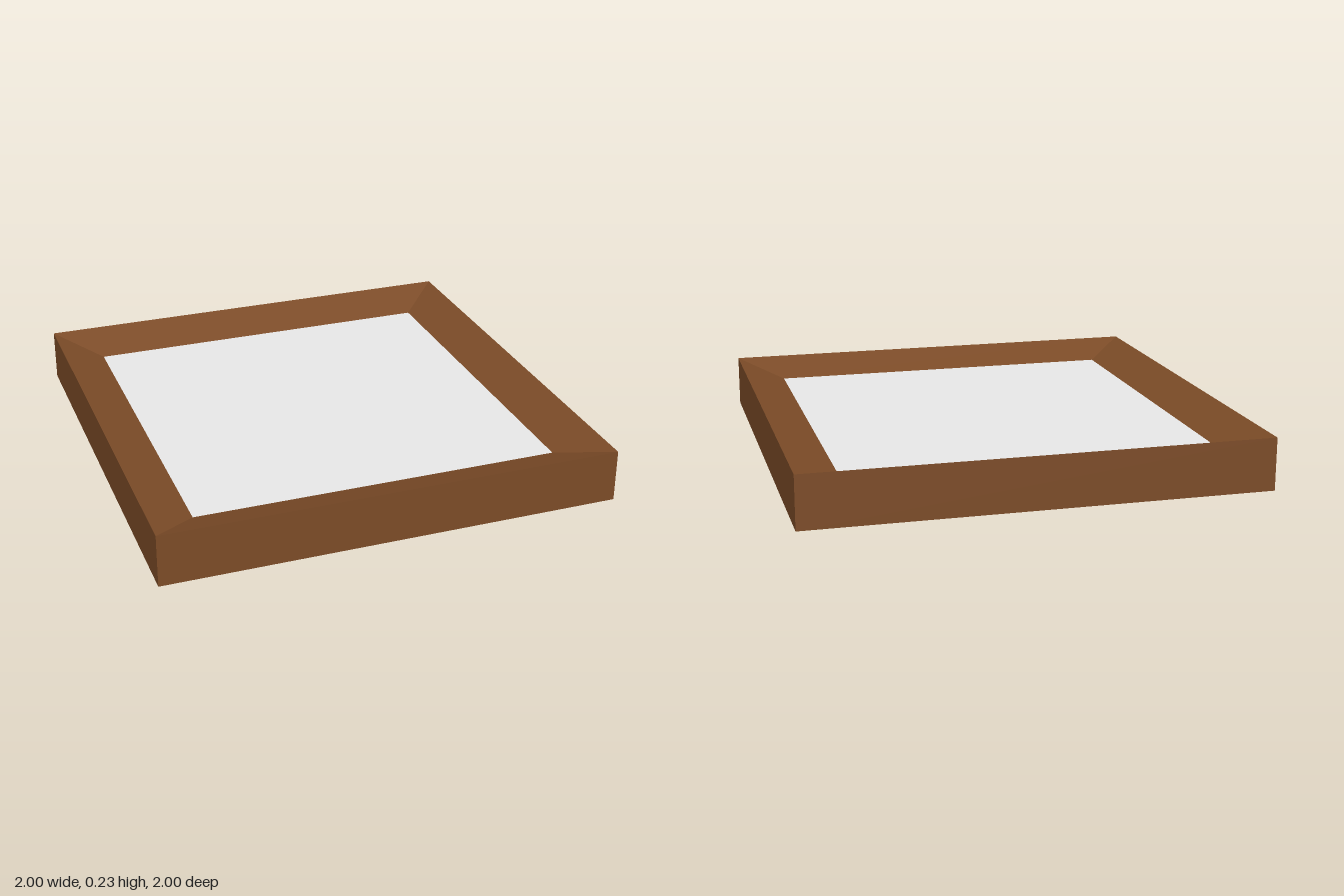
import * as THREE from 'three';

const HEIGHT = 0.23, INNER_Y = 0.16, OUTER = 1, INNER = 0.8;

// One mitred side of the frame: outer wall, sloped inner face and underside
function frameSide(material) {
  const profile = [[OUTER, 0], [OUTER, HEIGHT], [INNER, INNER_Y], [INNER, 0]];
  const points = [];
  const corner = ([r, y], side) => [side * r, y, r];
  for (let i = 0; i < 3; i++) {
    const a = corner(profile[i], -1), b = corner(profile[i], 1);
    const c = corner(profile[i + 1], 1), d = corner(profile[i + 1], -1);
    points.push(...a, ...b, ...c, ...a, ...c, ...d);
  }
  const geometry = new THREE.BufferGeometry();
  geometry.setAttribute('position', new THREE.Float32BufferAttribute(points, 3));
  geometry.computeVertexNormals();
  return new THREE.Mesh(geometry, material);
}

export function createModel() {
  const wood = new THREE.MeshStandardMaterial({ name: 'brown wood', color: 0x7b4b27 });
  const white = new THREE.MeshStandardMaterial({ name: 'pale panel', color: 0xeeeeee });
  const model = new THREE.Group();
  model.name = 'framedPanel';

  // Four mitred frame sides
  ['front', 'left', 'back', 'right'].forEach((name, i) => {
    const side = frameSide(wood);
    side.name = `${name}FrameSide`;
    side.rotation.y = i * Math.PI / 2;
    model.add(side);
  });

  // Wooden underside
  const base = new THREE.Mesh(new THREE.PlaneGeometry(2 * OUTER, 2 * OUTER), wood);
  base.name = 'base';
  base.rotation.x = Math.PI / 2;
  model.add(base);

  // Pale panel set at the foot of the slopes
  const panel = new THREE.Mesh(new THREE.PlaneGeometry(2 * INNER, 2 * INNER), white);
  panel.name = 'panel';
  panel.rotation.x = -Math.PI / 2;
  panel.position.y = INNER_Y;
  model.add(panel);

  return model;
}
